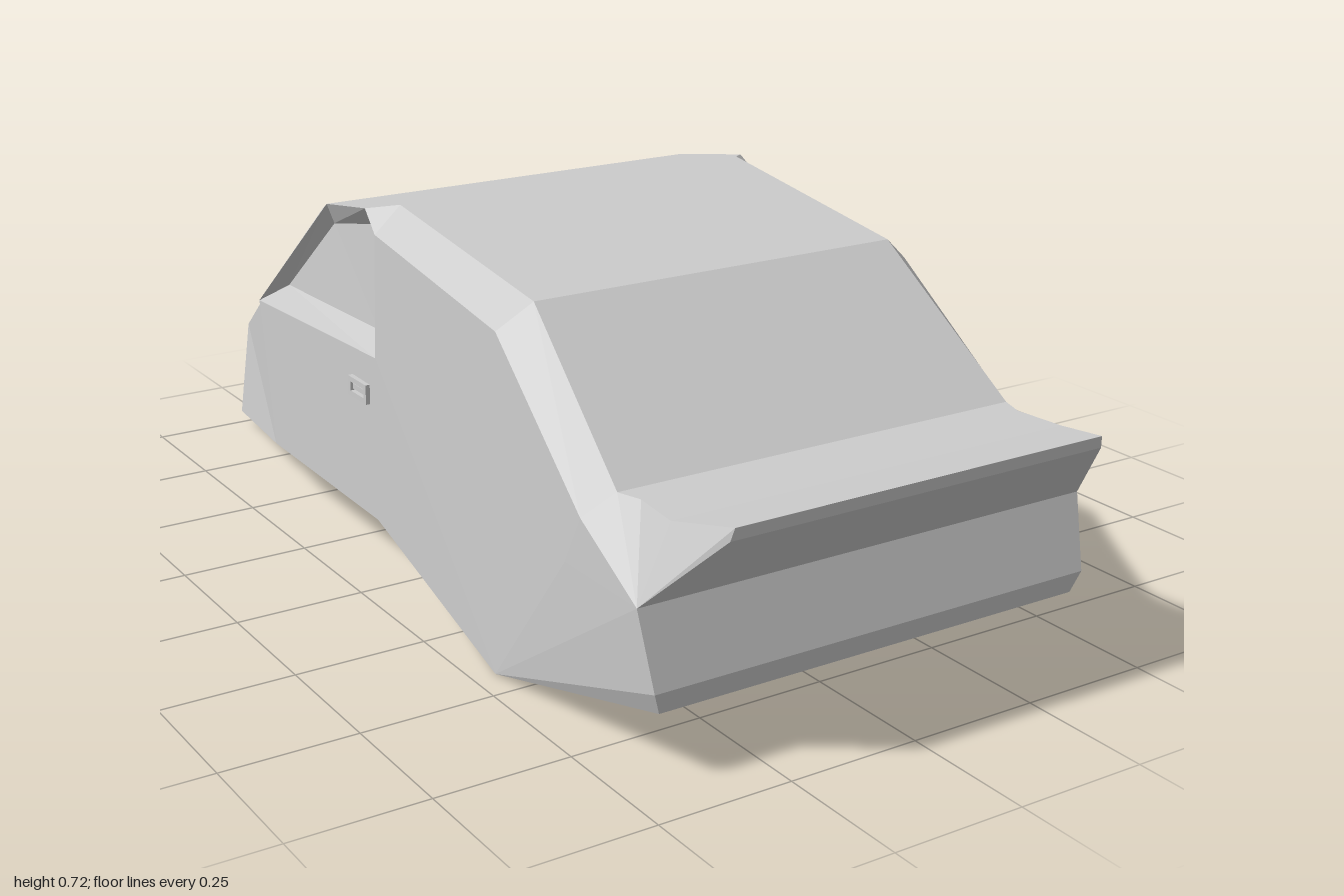
import * as THREE from 'three';

const mat = new THREE.MeshStandardMaterial({ color: 0xcccccc });
mat.name = 'bodyGrey';

// Left-hand outline points [x, y, z]; the nose points to -z
const P = {
  noseLow: [0.31, 0.03, -0.99], sillFront: [0.43, 0.12, -0.525], sillMid: [0.44, 0.12, -0.04],
  belly: [0.456, 0, 0.43], tailLow: [0.43, 0.12, 0.895], tailMid: [0.445, 0.16, 0.905],
  tailTop: [0.456, 0.294, 0.87], lipLow: [0.375, 0.43, 0.995], lipTop: [0.37, 0.453, 1],
  deckRear: [0.40, 0.428, 0.877], deckMid: [0.39, 0.428, 0.78], deckFront: [0.405, 0.428, 0.735],
  roofRear: [0.375, 0.658, 0.433], roofTop: [0.375, 0.722, -0.04], ear: [0.422, 0.711, -0.09],
  header: [0.408, 0.677, -0.283], headerEdge: [0.405, 0.664, -0.306],
  glassTop: [0.365, 0.632, -0.3], glassLow: [0.365, 0.468, -0.505],
  cowl: [0.405, 0.464, -0.55], hoodRear: [0.402, 0.428, -0.595], hoodFront: [0.285, 0.235, -0.985],
  railFront: [0.43, 0.674, -0.037], railRear: [0.436, 0.61, 0.41], finTop: [0.455, 0.385, 0.706],
  finLow: [0.456, 0.294, 0.66], belt: [0.436, 0.44, -0.04], fender: [0.425, 0.412, -0.588],
  win1: [0.402, 0.476, -0.092], win2: [0.388, 0.676, -0.092], win3: [0.385, 0.632, -0.3], win4: [0.396, 0.462, -0.5],
  noseTopMid: [0, 0.283, -1], noseLowMid: [0, 0.03, -0.99], hoodMid: [0, 0.43, -0.595],
};
const names = s => s.split(' ').map(n => P[n]);
const flip = p => [-p[0], p[1], p[2]];

function addMesh(group, name, tris) {
  const g = new THREE.BufferGeometry();
  g.setAttribute('position', new THREE.Float32BufferAttribute(tris.flat(2), 3));
  g.computeVertexNormals();
  const m = new THREE.Mesh(g, mat);
  m.name = name;
  group.add(m);
}

// Full-width panels running along a profile
function strip(group, name, list) {
  const pts = names(list), tris = [];
  for (let i = 0; i + 1 < pts.length; i++) {
    const a = pts[i], b = pts[i + 1];
    tris.push([flip(a), a, b], [flip(a), b, flip(b)]);
  }
  addMesh(group, name, tris);
}

// Mirrored panels, each a fan of triangles facing the outward hint
function panels(group, name, lists, hint = [1, 0, 0]) {
  const tris = [], out = new THREE.Vector3(...hint);
  for (const list of lists) {
    const p = names(list);
    for (let i = 1; i + 1 < p.length; i++) {
      let t = [p[0], p[i], p[i + 1]];
      const [a, b, c] = t.map(q => new THREE.Vector3(...q));
      if (b.sub(a).cross(c.sub(a)).dot(out) < 0) t = [t[0], t[2], t[1]];
      tris.push(t, [flip(t[0]), flip(t[2]), flip(t[1])]);
    }
  }
  addMesh(group, name, tris);
}

export function createModel() {
  const car = new THREE.Group();
  car.name = 'carBody';

  // Panels spanning the whole width
  strip(car, 'underbody', 'noseLow sillFront sillMid belly tailLow');
  strip(car, 'rearPanel', 'tailLow tailMid tailTop');
  strip(car, 'spoiler', 'tailTop lipLow lipTop deckRear deckMid deckFront');
  strip(car, 'rearWindow', 'deckFront roofRear');
  strip(car, 'roof', 'roofRear roofTop ear header headerEdge');
  strip(car, 'windshieldHeader', 'headerEdge glassTop');
  strip(car, 'windshield', 'glassTop glassLow');
  strip(car, 'cowl', 'glassLow cowl hoodRear');

  // Hood with a centre ridge, and the nose
  panels(car, 'hood', ['hoodRear hoodMid noseTopMid hoodFront'], [0, 1, 0]);
  panels(car, 'nose', ['noseLowMid noseLow hoodFront noseTopMid'], [0, 0, -1]);

  // Sides
  panels(car, 'rearSide', ['belly sillMid belt railFront railRear finTop finLow tailTop tailMid tailLow']);
  panels(car, 'door', ['sillMid belt fender sillFront']);
  panels(car, 'frontFender', ['sillFront fender hoodRear hoodFront noseLow']);
  panels(car, 'spoilerFin', ['tailTop finLow finTop deckFront deckMid deckRear lipTop lipLow']);
  panels(car, 'roofRail', ['roofTop roofRear railRear railFront', 'roofRear deckFront finTop railRear', 'roofTop railFront ear']);

  // Sunken side windows and their frames
  panels(car, 'sideWindow', ['win1 win2 win3 win4']);
  panels(car, 'windowRearFrame', ['belt railFront win2 win1'], [0.5, 0, -1]);
  panels(car, 'windowTopFrame', ['railFront ear win2', 'ear header win3 win2'], [0.3, -1, 0]);
  panels(car, 'windowSill', ['belt win1 win4 fender'], [0.6, 1, 0]);
  panels(car, 'windowPillar', ['header headerEdge fender win4 win3', 'headerEdge cowl fender', 'cowl hoodRear fender']);
  panels(car, 'windshieldFrame', ['headerEdge cowl glassLow glassTop'], [0, 1, -0.8]);

  // Door handles: a rim around a recessed grip
  const rect = (C, w, h) => new C([[-w, -h], [w, -h], [w, h], [-w, h]].map(q => new THREE.Vector2(...q)));
  const rim = rect(THREE.Shape, 0.037, 0.019);
  rim.holes.push(rect(THREE.Path, 0.027, 0.009));
  for (const s of [1, -1]) {
    const handle = new THREE.Group();
    handle.name = s > 0 ? 'leftDoorHandle' : 'rightDoorHandle';
    const ring = new THREE.Mesh(new THREE.ExtrudeGeometry(rim, { depth: 0.02, bevelEnabled: false }), mat);
    ring.name = 'handleRim';
    const grip = new THREE.Mesh(new THREE.BoxGeometry(0.05, 0.01, 0.016), mat);
    grip.name = 'handleGrip';
    grip.position.z = 0.008;
    handle.add(ring, grip);
    handle.position.set(s * 0.425, 0.362, -0.102);
    handle.rotation.y = s * Math.PI / 2;
    car.add(handle);
  }
  return car;
}
